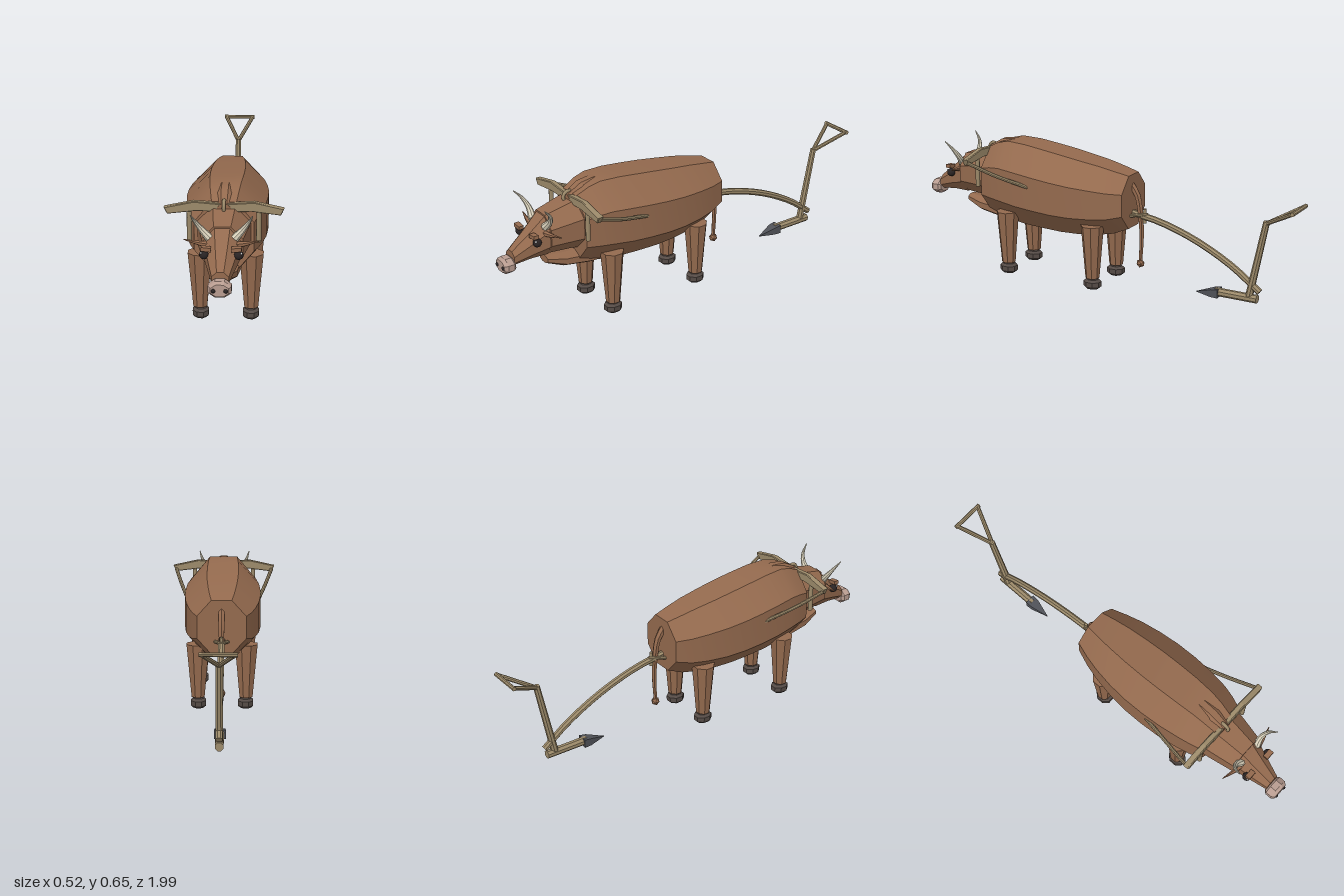
import * as THREE from 'three';
import { toCreasedNormals } from 'three/addons/utils/BufferGeometryUtils.js';

const V = (x, y, z) => new THREE.Vector3(x, y, z);
const mat = (color) => new THREE.MeshStandardMaterial({ color });

// Skin over rings of points (counter-clockwise about the direction of travel), closed at both ends
function skin(rings) {
  const n = rings[0].length, pos = [], idx = [];
  const add = (p) => pos.push(p.x, p.y, p.z);
  rings.forEach((r) => r.forEach(add));
  for (let i = 0; i < rings.length - 1; i++) {
    for (let j = 0; j < n; j++) {
      const a = i * n + j, b = i * n + (j + 1) % n;
      idx.push(a, b, b + n, a, b + n, a + n);
    }
  }
  [0, rings.length - 1].forEach((k, end) => {
    const c = rings[k].reduce((s, p) => s.add(p), V(0, 0, 0)).divideScalar(n);
    const ci = pos.length / 3;
    add(c);
    for (let j = 0; j < n; j++) {
      const a = k * n + j, b = k * n + (j + 1) % n;
      idx.push(ci, end ? a : b, end ? b : a);
    }
  });
  const g = new THREE.BufferGeometry();
  g.setAttribute('position', new THREE.Float32BufferAttribute(pos, 3));
  g.setIndex(idx);
  return toCreasedNormals(g, 0.5);
}

// Flat-sided ring loft along z: sections are [z, centreY, halfWidth, halfHeight]
function loft(sections, n = 8) {
  const k = 1 / Math.cos(Math.PI / n);
  return skin(sections.map(([z, cy, hx, hy]) => Array.from({ length: n }, (_, j) => {
    const a = (j + 0.5) / n * Math.PI * 2;
    return V(Math.cos(a) * hx * k, cy + Math.sin(a) * hy * k, z);
  })));
}

// Upright loft: sections are [y, halfWidth, halfDepth]
const upright = (sections) =>
  loft(sections.map(([y, hx, hz]) => [y, 0, hx, hz])).rotateX(-Math.PI / 2);

// Tapered tube through points
function taper(points, r0, r1 = r0, sides = 8, seg = points.length > 2 ? 12 : 1) {
  const curve = points.length > 2 ? new THREE.CatmullRomCurve3(points) : new THREE.LineCurve3(...points);
  const f = curve.computeFrenetFrames(seg, false);
  return skin(Array.from({ length: seg + 1 }, (_, i) => {
    const p = curve.getPointAt(i / seg), r = r0 + (r1 - r0) * i / seg;
    return Array.from({ length: sides }, (_, j) => {
      const a = (j + 0.5) / sides * Math.PI * 2;
      return p.clone().addScaledVector(f.normals[i], Math.cos(a) * r)
        .addScaledVector(f.binormals[i], Math.sin(a) * r);
    });
  }));
}

export function createModel() {
  const model = new THREE.Group();
  const hide = mat(0x946a4e), wood = mat(0x9c8a6a), horn = mat(0xd8d0ba), hoof = mat(0x554b46);
  const dark = mat(0x2a2424), nose = mat(0xb89c90), iron = mat(0x505258), white = mat(0xf0f0f0);
  const part = (name, geo, m, x = 0, y = 0, z = 0) => {
    const mesh = new THREE.Mesh(geo, m);
    mesh.name = name;
    mesh.position.set(x, y, z);
    model.add(mesh);
    return mesh;
  };

  // Trunk, neck and head
  part('body', loft([
    [-0.155, 0.43, 0.115, 0.128], [-0.08, 0.422, 0.14, 0.152], [0, 0.422, 0.16, 0.168],
    [0.1, 0.424, 0.176, 0.181], [0.2, 0.43, 0.184, 0.19], [0.3, 0.438, 0.184, 0.195],
    [0.4, 0.446, 0.178, 0.199], [0.5, 0.454, 0.164, 0.195], [0.56, 0.452, 0.15, 0.182],
    [0.62, 0.445, 0.13, 0.16]]), hide);
  part('shoulderHump', loft([
    [0.44, 0.62, 0.024, 0.02], [0.5, 0.625, 0.036, 0.026],
    [0.57, 0.612, 0.037, 0.03], [0.64, 0.575, 0.03, 0.026]]), hide);
  part('neck', loft([[0.55, 0.468, 0.125, 0.13], [0.65, 0.465, 0.112, 0.112], [0.775, 0.455, 0.088, 0.094]]), hide);
  part('dewlap', loft([
    [0.4, 0.285, 0.07, 0.045], [0.55, 0.285, 0.072, 0.042],
    [0.68, 0.298, 0.06, 0.034], [0.768, 0.318, 0.035, 0.018]]), hide);
  part('head', loft([[0.765, 0.452, 0.082, 0.098], [0.85, 0.415, 0.06, 0.062], [0.937, 0.376, 0.036, 0.034]]), hide);
  part('muzzle', loft([
    [0.932, 0.35, 0.038, 0.026], [0.945, 0.35, 0.049, 0.036],
    [0.975, 0.35, 0.049, 0.036], [0.99, 0.35, 0.038, 0.026]]), nose);

  // Tail with tuft
  part('tail', taper([V(0, 0.51, -0.14), V(0, 0.46, -0.175), V(0, 0.38, -0.192),
    V(0, 0.26, -0.2), V(0, 0.14, -0.195)], 0.017, 0.009, 6), hide);
  const tuftGeo = new THREE.IcosahedronGeometry(0.021, 0);
  part('tailTuft', tuftGeo, hide, 0, 0.125, -0.195);

  // Paired parts
  for (const s of [1, -1]) {
    const side = s > 0 ? 'left' : 'right';
    const P = (x, y, z) => V(s * x, y, z);
    part(side + 'Eye', new THREE.SphereGeometry(0.02, 16, 12), dark, s * 0.073, 0.449, 0.84);
    part(side + 'EyeGlint', new THREE.SphereGeometry(0.005, 8, 6), white, s * 0.085, 0.461, 0.853);
    part(side + 'Nostril', new THREE.SphereGeometry(0.01, 12, 8), dark, s * 0.026, 0.349, 0.987);
    part(side + 'Brow', new THREE.BoxGeometry(0.042, 0.017, 0.025), hide, s * 0.064, 0.479, 0.85)
      .rotation.z = s * 0.1;
    part(side + 'Ear', taper([P(0.06, 0.474, 0.79), P(0.1, 0.479, 0.785), P(0.163, 0.488, 0.77)], 0.015, 0.002, 6), hide);
    part(side + 'Horn', taper([P(0.053, 0.502, 0.785), P(0.088, 0.54, 0.78),
      P(0.114, 0.58, 0.795), P(0.13, 0.62, 0.83)], 0.019, 0.002), horn);
    for (const [end, z] of [['Front', 0.478], ['Rear', 0.002]]) {
      part(side + end + 'Leg', upright([[0.055, 0.031, 0.031], [0.315, 0.054, 0.05]]), hide, s * 0.115, 0, z);
      part(side + end + 'Hoof', upright([[0.002, 0.026, 0.029], [0.013, 0.036, 0.041],
        [0.037, 0.036, 0.041], [0.048, 0.026, 0.029]]), hoof, s * 0.113, 0, z);
    }
    // Harness
    part(side + 'YokePost', new THREE.CylinderGeometry(0.011, 0.011, 0.16, 8), wood, s * 0.15, 0.506, 0.625);
    part(side + 'Trace', taper([P(0.245, 0.565, 0.62), P(0.212, 0.512, 0.48), P(0.176, 0.468, 0.32)], 0.009), wood);
    part(side + 'HitchStrut', taper([P(0.035, 0.36, -0.14), P(0, 0.37, -0.23)], 0.008), wood);
    // Plough grip
    part(side + 'Grip', taper([P(0, 0.42, -0.83), P(0.07, 0.506, -0.985)], 0.01), wood);
  }

  // Yoke beam with drooping ends, and its centre ring
  const half = [[0.13, 0.607], [0.255, 0.58], [0.243, 0.555], [0.12, 0.57]];
  const outline = [[0, 0.597], ...half, [0, 0.567], ...half.map(([x, y]) => [-x, y]).reverse()];
  const yoke = new THREE.ExtrudeGeometry(new THREE.Shape(outline.map(([x, y]) => new THREE.Vector2(x, y))), {
    depth: 0.02, bevelThickness: 0.004, bevelSize: 0.003, bevelSegments: 1 });
  part('yokeBeam', yoke, wood, 0, 0, 0.615);
  part('yokeRing', new THREE.TorusGeometry(0.026, 0.008, 8, 20).rotateY(Math.PI / 2), wood, 0, 0.587, 0.628);

  // Plough
  part('ploughBeam', taper([V(0, 0.37, -0.15), V(0, 0.342, -0.31), V(0, 0.278, -0.5),
    V(0, 0.185, -0.68), V(0, 0.09, -0.81)], 0.016), wood);
  part('hitchPin', new THREE.CylinderGeometry(0.008, 0.008, 0.07, 8), wood, 0, 0.362, -0.216);
  part('ploughSole', taper([V(0, 0.055, -0.8), V(0, 0.055, -0.59)], 0.02), wood);
  part('ploughShare', loft([[-0.61, 0.053, 0.026, 0.021], [-0.575, 0.05, 0.024, 0.018], [-0.49, 0.038, 0.001, 0.001]], 4), iron);
  part('ploughHandle', taper([V(0, 0.06, -0.758), V(0, 0.43, -0.833)], 0.018, 0.015), wood);
  part('gripBar', taper([V(-0.08, 0.506, -0.985), V(0.08, 0.506, -0.985)], 0.01), wood);

  return model;
}
